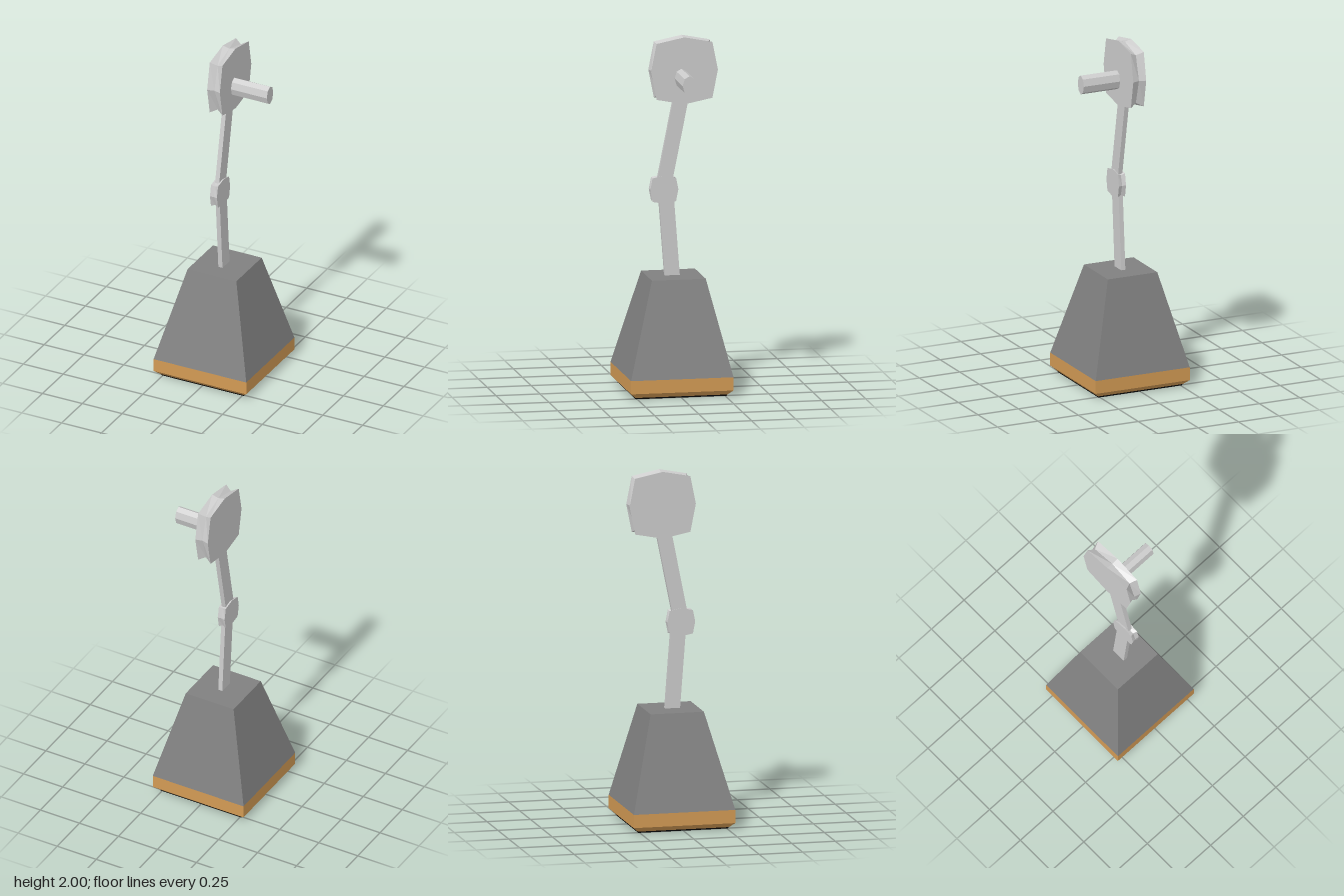
import * as THREE from 'three';

const material = (color) => new THREE.MeshStandardMaterial({ color, flatShading: true });

// Closed faceted skin through rings of [x, y, z] points, counter-clockwise seen from the last ring
function loft(rings) {
  const n = rings[0].length, last = (rings.length - 1) * n, index = [];
  for (let r = 0; r < rings.length - 1; r++) {
    for (let j = 0; j < n; j++) {
      const a = r * n + j, b = r * n + (j + 1) % n;
      index.push(a, b, b + n, a, b + n, a + n);
    }
  }
  for (let j = 1; j < n - 1; j++) {
    index.push(0, j + 1, j, last, last + j, last + j + 1);
  }
  const indexed = new THREE.BufferGeometry();
  indexed.setAttribute('position', new THREE.Float32BufferAttribute(rings.flat(2), 3));
  indexed.setIndex(index);
  const geometry = indexed.toNonIndexed();
  geometry.computeVertexNormals();
  return geometry;
}

// Level square with half-width h, centred on z
const square = (y, h, z = 0) =>
  [[1, 1], [1, -1], [-1, -1], [-1, 1]].map(([sx, sz]) => [sx * h, y, z + sz * h]);

// Eight-sided outline across x; mid and corner are its half-extents
function octagon(x, mid, corner) {
  return Array.from({ length: 8 }, (_, i) => {
    const a = i * Math.PI / 4, r = i % 2 ? corner * Math.SQRT2 : mid;
    return [x, r * Math.cos(a), r * Math.sin(a)];
  });
}

// Disc with a V groove around the rim
const groovedDisc = (radius, halfWidth) => loft([
  octagon(-halfWidth, radius, radius * 0.835),
  octagon(0, radius * 0.945, radius * 0.735),
  octagon(halfWidth, radius, radius * 0.835),
]);

export function createModel() {
  const group = new THREE.Group();
  const grey = material(0xcccccc);

  const add = (name, geometry, mat, x = 0, y = 0, z = 0) => {
    const mesh = new THREE.Mesh(geometry, mat);
    mesh.name = name;
    mesh.position.set(x, y, z);
    group.add(mesh);
    return mesh;
  };

  // Flat bar between two points in the side plane
  const addBar = (name, y0, z0, y1, z1) => {
    const length = Math.hypot(y1 - y0, z1 - z0);
    const bar = add(name, new THREE.BoxGeometry(0.026, length, 0.085), grey,
      0, (y0 + y1) / 2, (z0 + z1) / 2);
    bar.rotation.x = Math.atan2(z1 - z0, y1 - y0);
  };

  // Base: dark sole, chamfered wooden plinth, tapered body
  add('sole', loft([square(0, 0.258), square(0.012, 0.262)]), material(0x080808));
  add('plinth', loft([square(0.008, 0.262), square(0.035, 0.291), square(0.11, 0.291)]), material(0xd29a54));
  add('baseBody', loft([square(0.11, 0.291), square(0.648, 0.153, -0.008)]), material(0x808080));

  // Bent arm with its elbow joint
  addBar('lowerArm', 0.6, -0.003, 1.14, 0.038);
  addBar('upperArm', 1.14, 0.052, 1.75, -0.069);
  add('elbow', groovedDisc(0.08, 0.022), grey, 0, 1.136, 0.048);

  // Wheel at the top with its side handle
  add('wheel', groovedDisc(0.19, 0.04), grey, 0, 1.81, -0.063);
  const handleGeometry = new THREE.CylinderGeometry(1, 1, 0.235, 8);
  handleGeometry.rotateZ(-Math.PI / 2);
  handleGeometry.scale(1, 0.055, 0.039);
  add('handle', handleGeometry, grey, 0.1475, 1.768, -0.046);

  return group;
}
